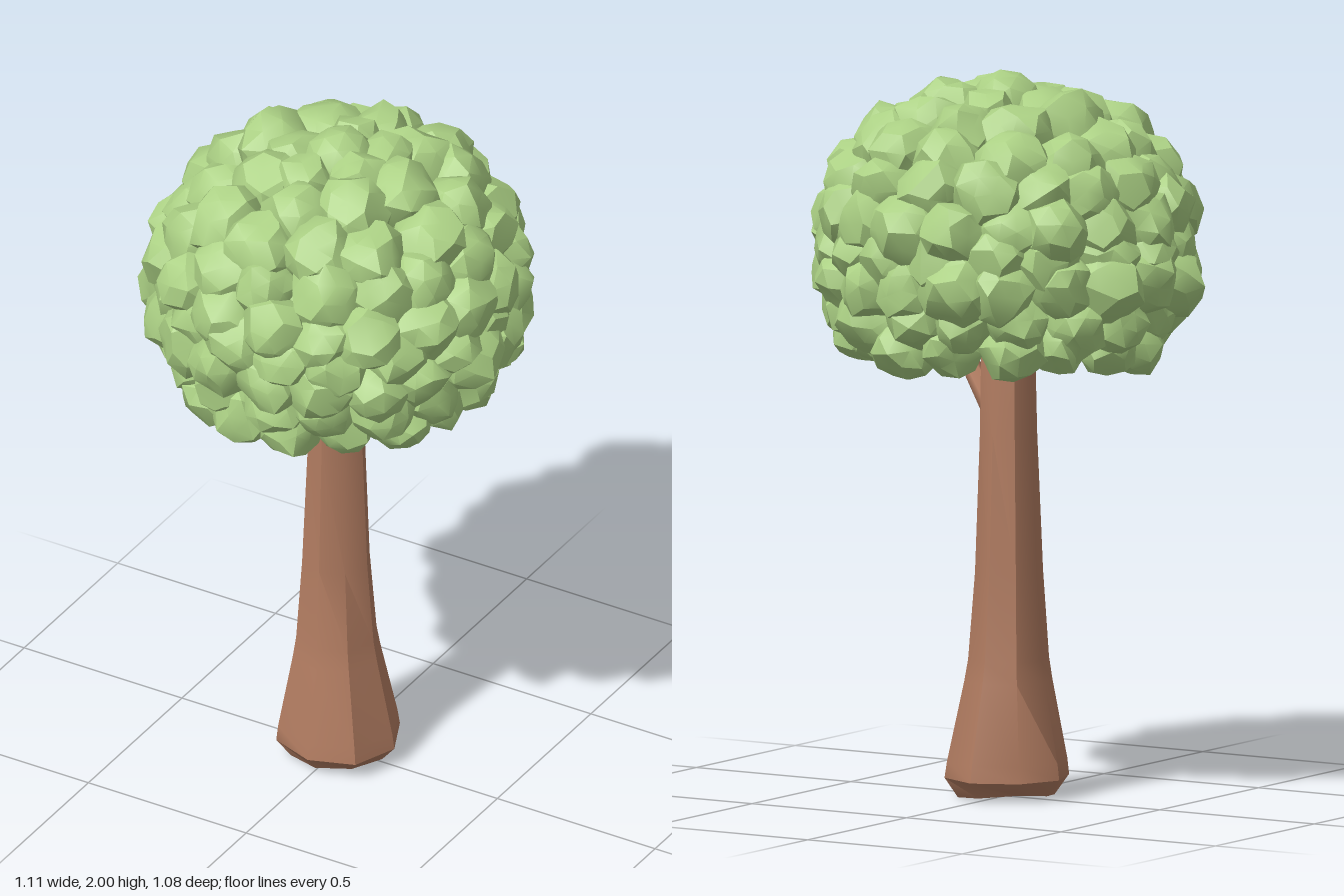
import * as THREE from 'three';
import { mergeGeometries, toCreasedNormals } from 'three/addons/utils/BufferGeometryUtils.js';

const bark = new THREE.MeshStandardMaterial({ color: 0xb07b60 });
bark.name = 'bark brown';
const leaf = new THREE.MeshStandardMaterial({ color: 0xabd084 });
leaf.name = 'leaf green';

function seeded(seed) {
  return () => (seed = (seed * 16807) % 2147483647) / 2147483647;
}

function addMesh(group, name, geometry, material) {
  const mesh = new THREE.Mesh(geometry, material);
  mesh.name = name;
  group.add(mesh);
  return mesh;
}

// Lumpy low-poly leaf clump of roughly unit radius
function clump(rand, lump = 0.09) {
  const geo = new THREE.IcosahedronGeometry(1, 1);
  const pos = geo.attributes.position;
  const v = new THREE.Vector3();
  const [a, b, c] = [rand() * 6, rand() * 6, rand() * 6];
  for (let i = 0; i < pos.count; i++) {
    v.fromBufferAttribute(pos, i);
    v.multiplyScalar(1 + lump * (Math.sin(5 * v.x + a) + Math.sin(6 * v.y + b) * Math.sin(5 * v.z + c)));
    pos.setXYZ(i, v.x, v.y, v.z);
  }
  geo.deleteAttribute('uv');
  return toCreasedNormals(geo, 0.55);
}

// Flared eight-sided trunk, leaning slightly as it rises
function trunkGeometry() {
  const profile = [[0, 0.012], [0.135, 0.01], [0.174, 0.055], [0.168, 0.1], [0.123, 0.32], [0.113, 0.38],
    [0.095, 0.62], [0.08, 1.0], [0.075, 1.26], [0.05, 1.55], [0, 1.56]];
  const geo = new THREE.LatheGeometry(profile.map(([r, y]) => new THREE.Vector2(r, y)), 8);
  const pos = geo.attributes.position;
  for (let i = 0; i < pos.count; i++) {
    const x = pos.getX(i), y = pos.getY(i), z = pos.getZ(i);
    const angle = Math.atan2(z, x);
    const lean = -0.007 * Math.min(1, y / 0.5);
    const k = 1 + 0.025 * Math.sin(3 * angle + y * 2);
    const foot = y < 0.02 && Math.hypot(x, z) > 0.01 ? 0.009 * Math.sin(2 * angle) - 0.001 : 0;
    pos.setXYZ(i, x * k + lean, Math.max(0, y + foot), z * k - lean * 0.6);
  }
  geo.deleteAttribute('uv');
  return toCreasedNormals(geo, 0.75);
}

export function createModel() {
  const tree = new THREE.Group();
  tree.name = 'tree';
  const rand = seeded(4711);

  addMesh(tree, 'trunk', trunkGeometry(), bark);

  // Side branch, tapering up into the crown
  const from = new THREE.Vector3(0.035, 1.035, 0.025);
  const to = new THREE.Vector3(0.32, 1.32, 0.155);
  const dir = to.clone().sub(from);
  const branch = addMesh(tree, 'branch', new THREE.CylinderGeometry(0.013, 0.038, dir.length(), 6), bark);
  branch.position.copy(from).lerp(to, 0.5);
  branch.quaternion.setFromUnitVectors(new THREE.Vector3(0, 1, 0), dir.normalize());

  // Crown clumps: [height, ring radius, clump radius, count]
  const rings = [
    [1.37, 0.23, 0.1, 9],
    [1.285, 0.375, 0.09, 16],
    [1.36, 0.41, 0.095, 17],
    [1.45, 0.44, 0.1, 19],
    [1.53, 0.43, 0.098, 18],
    [1.61, 0.43, 0.1, 19],
    [1.7, 0.385, 0.1, 16],
    [1.78, 0.32, 0.105, 13],
    [1.845, 0.21, 0.105, 8],
    [1.87, 0.11, 0.09, 5],
  ];
  const clumps = [];
  const m = new THREE.Matrix4(), q = new THREE.Quaternion();
  const place = (x, y, z, r, lump) => {
    q.setFromEuler(new THREE.Euler(rand() * 6, rand() * 6, rand() * 6));
    m.compose(new THREE.Vector3(x, y, z), q, new THREE.Vector3(r, r, r));
    clumps.push(clump(rand, lump).applyMatrix4(m));
  };
  rings.forEach(([y, ring, r, count], n) => {
    for (let i = 0; i < count; i++) {
      const a = ((i + (n % 2) / 2 + (rand() - 0.5) * 0.3) / count) * Math.PI * 2;
      const d = ring + (rand() - 0.5) * 0.025;
      place(Math.cos(a) * d, y + (rand() - 0.5) * 0.03, Math.sin(a) * d, r * (0.92 + rand() * 0.16));
    }
  });
  place(0, 1.895, 0, 0.104, 0.02);
  addMesh(tree, 'crownClumps', mergeGeometries(clumps), leaf);

  // Inner mass closing the gaps between clumps
  const core = addMesh(tree, 'crownCore', new THREE.SphereGeometry(1, 20, 12), leaf);
  core.scale.set(0.42, 0.25, 0.42);
  core.position.y = 1.6;
  return tree;
}
